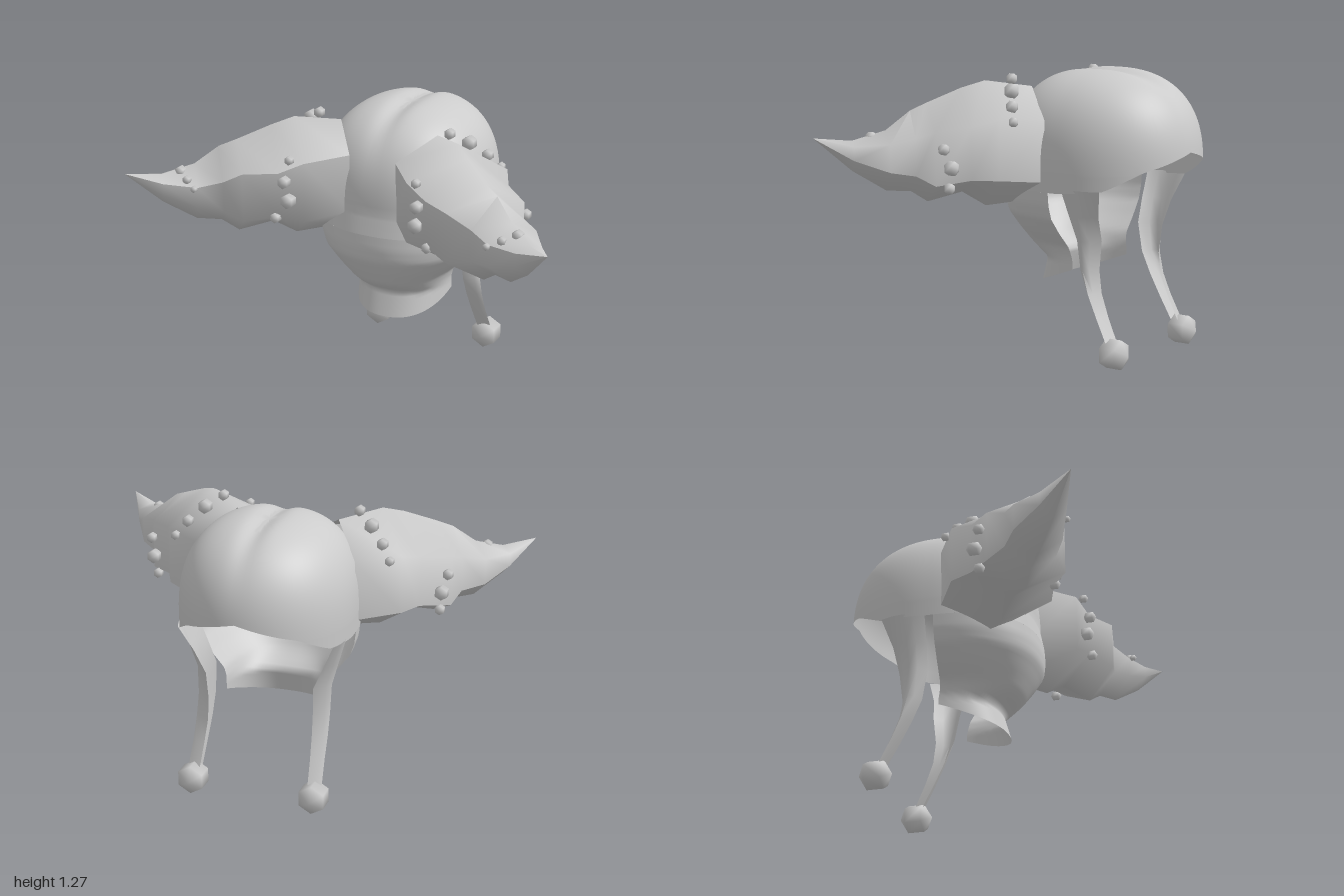
import * as THREE from 'three';
import { toCreasedNormals } from 'three/addons/utils/BufferGeometryUtils.js';

const material = new THREE.MeshStandardMaterial({ color: 0xcccccc, side: THREE.DoubleSide });
const rad = THREE.MathUtils.degToRad;

// Smooth surface from rows x cols points; keep() may drop triangles by centroid
function grid(rows, cols, point, keep = () => true) {
  const pts = [];
  for (let i = 0; i <= rows; i++) {
    pts.push([]);
    for (let j = 0; j <= cols; j++) pts[i].push(new THREE.Vector3(...point(i, j)));
  }
  const pos = [];
  const tri = (a, b, c) => {
    const mid = a.clone().add(b).add(c).divideScalar(3);
    if (a.equals(b) || b.equals(c) || a.equals(c) || !keep(mid)) return;
    for (const v of [a, b, c]) pos.push(v.x, v.y, v.z);
  };
  for (let i = 0; i < rows; i++) {
    for (let j = 0; j < cols; j++) {
      const a = pts[i][j], b = pts[i][j + 1], c = pts[i + 1][j], d = pts[i + 1][j + 1];
      tri(a, b, c);
      tri(b, d, c);
    }
  }
  const geo = new THREE.BufferGeometry();
  geo.setAttribute('position', new THREE.Float32BufferAttribute(pos, 3));
  return toCreasedNormals(geo, rad(85));
}

function mesh(name, geo) {
  const m = new THREE.Mesh(geo, material);
  m.name = name;
  return m;
}

// Linear lookup in a table of [key, ...values], keys in descending order
function lookup(table, key, col) {
  for (let i = 1; i < table.length; i++) {
    const a = table[i - 1], b = table[i];
    if (key >= b[0]) return THREE.MathUtils.lerp(b[col], a[col], Math.min(1, (key - b[0]) / (a[0] - b[0])));
  }
  return table[table.length - 1][col];
}

// Hood: superellipse plan around z = CZ, [y, half width, front depth]
const CZ = -0.19, MIDY = 0.85, DOME = 0.43, ROUND = 2 / 2.5;
const body = [
  [0.85, 0.385, 0.42], [0.76, 0.382, 0.438], [0.7, 0.375, 0.443], [0.64, 0.355, 0.438], [0.57, 0.3, 0.4],
  [0.5, 0.235, 0.355], [0.46, 0.222, 0.305], [0.43, 0.22, 0.255], [0.31, 0.222, 0.29],
];
const power = (v, e) => Math.sign(v) * Math.abs(v) ** e;

function around(theta, y, scale = 1) {
  const c = Math.cos(theta), w = lookup(body, y, 1);
  const depth = c > 0 ? lookup(body, y, 2) : 0.44;
  const e = c > 0 ? 2 / 2.4 : 2 / 2.1;
  return [-w * scale * power(Math.sin(theta), e), y, CZ + depth * scale * power(c, e)];
}

// Horn frame: base centre, outward axis and sideways direction
const BASE = [0.235, 0.045], AX = [0.78, 0.63], SIDE = [0.63, -0.78];
// [along, front, rear, top, frontUpper, frontLower, bottom, rearLower, rearUpper]
const hornRings = [
  [0, -0.195, 0.205, 1.2, 1.1, 0.84, 0.7, 0.8, 1.07],
  [0.21, -0.237, 0.238, 1.23, 1.09, 0.82, 0.68, 0.82, 1.08],
  [0.315, -0.2, 0.19, 1.2, 1.04, 0.84, 0.745, 0.82, 1.05],
  [0.47, -0.18, 0.185, 1.14, 1.04, 0.82, 0.71, 0.8, 1.03],
  [0.545, -0.1, 0.135, 1.11, 0.98, 0.84, 0.76, 0.84, 1.0],
  [0.655, -0.08, 0.143, 1.03, 0.955, 0.86, 0.77, 0.86, 0.98],
  [0.8, -0.03, 0.092, 0.99, 0.965, 0.91, 0.86, 0.91, 0.97],
  [0.963, 0.026, 0.026, 1.005, 1.005, 1.005, 1.005, 1.005, 1.005],
];

function hornPoint(i, j) {
  const r = hornRings[i], k = j % 6;
  const mid = (r[1] + r[2]) / 2;
  const p = [mid, r[1], r[1], mid, r[2], r[2]][k];
  return [BASE[0] + AX[0] * r[0] + SIDE[0] * p, r[3 + k], BASE[1] + AX[1] * r[0] + SIDE[1] * p];
}

// True where the hood opens into a horn
function insideHorn(v) {
  const dx = Math.abs(v.x) - BASE[0], dz = v.z - BASE[1];
  const s = dx * AX[0] + dz * AX[1], p = dx * SIDE[0] + dz * SIDE[1];
  const f = Math.abs(p) / 0.2;
  return s > 0.015 && f < 0.92 && v.y < 1.17 - 0.11 * f && v.y > 0.73 + 0.11 * f;
}

// Lower edge of the hood, rising towards the back
const rimTable = [[180, 0.93], [141, 0.86], [117, 0.78], [90, 0.76], [0, 0.76]];

function hoodPoint(i, j) {
  const theta = rad(j * 3.75 - 180);
  const rim = lookup(rimTable, Math.abs(j * 3.75 - 180), 1);
  if (i <= 30 || rim >= MIDY) {
    const end = Math.acos((Math.max(0, rim - MIDY) / DOME) ** (1 / ROUND));
    const phi = (end * Math.min(i, 30)) / 30;
    const p = around(theta, MIDY, Math.sin(phi) ** ROUND);
    // Shallow groove along the crown
    p[1] = MIDY + DOME * Math.max(0, Math.cos(phi)) ** ROUND;
    p[1] -= 0.025 * Math.exp(-((p[0] / 0.05) ** 2)) * Math.cos(phi) ** 2;
    return p;
  }
  return around(theta, MIDY - ((MIDY - rim) * (i - 30)) / 6);
}

// Collar hangs from the front of the hood, open behind
function collarPoint(i, j) {
  const a = (j / 40) * 2 - 1;
  const bottom = 0.31 + 0.09 * a * a;
  return around(rad(a * 86), 0.76 - ((0.76 - bottom) * i) / 24);
}

// Strap sections: [y, back z, front z, outer x, edge x]
const strapRows = [
  [0.78, -0.39, -0.19, 0.38, 0.355], [0.66, -0.35, -0.195, 0.345, 0.3],
  [0.55, -0.335, -0.205, 0.315, 0.25], [0.42, -0.32, -0.23, 0.31, 0.245],
  [0.32, -0.332, -0.275, 0.31, 0.245], [0.22, -0.37, -0.325, 0.31, 0.25],
  [0.11, -0.42, -0.385, 0.315, 0.255],
];
function strapPoint(i, j) {
  const [y, back, front, outer, edge] = strapRows[i];
  const t = j / 4;
  return [edge + (outer - edge) * Math.sin(Math.PI * t), y, back + (front - back) * t];
}

// Studs: [x, y, z, radius]
const studs = [
  [0.32, 1.235, 0.09, 0.027], [0.39, 1.19, 0.04, 0.036], [0.455, 1.13, -0.01, 0.029], [0.5, 1.07, -0.05, 0.023],
  [0.305, 1.105, 0.385, 0.023], [0.32, 1.01, 0.41, 0.031], [0.31, 0.92, 0.395, 0.037], [0.37, 0.835, 0.405, 0.027],
  [0.71, 0.96, 0.16, 0.027], [0.69, 0.88, 0.135, 0.036], [0.68, 0.79, 0.155, 0.026],
  [0.81, 1.0, 0.475, 0.028], [0.755, 0.98, 0.51, 0.022], [0.7, 0.955, 0.54, 0.017],
];

// Smooth six-sided ball with its poles along z
function ball(name, x, y, z, r) {
  const geo = new THREE.SphereGeometry(r, 6, 3).rotateY(Math.PI / 2).rotateX(Math.PI / 2);
  const m = mesh(name, geo);
  m.position.set(x, y, z);
  return m;
}

function createSide(name) {
  const side = new THREE.Group();
  side.name = name;
  // Upper and lower shells meet in sharp edges
  const rings = hornRings.length - 1;
  side.add(mesh('hornUpper', grid(rings, 3, (i, j) => hornPoint(i, j + 4))));
  side.add(mesh('hornLower', grid(rings, 3, (i, j) => hornPoint(i, j + 1))));
  side.add(mesh('strap', grid(strapRows.length - 1, 4, strapPoint)));
  side.add(ball('strapBall', 0.285, 0.07, -0.422, 0.076));
  for (const s of studs) side.add(ball('stud', ...s));
  return side;
}

export function createModel() {
  const model = new THREE.Group();
  model.name = 'hornedHood';
  model.add(mesh('hood', grid(36, 96, hoodPoint, (v) => !insideHorn(v))));
  model.add(mesh('collar', grid(24, 40, collarPoint, (v) => !insideHorn(v))));
  const left = createSide('leftSide'), right = createSide('rightSide');
  right.scale.x = -1;
  model.add(left, right);
  return model;
}
